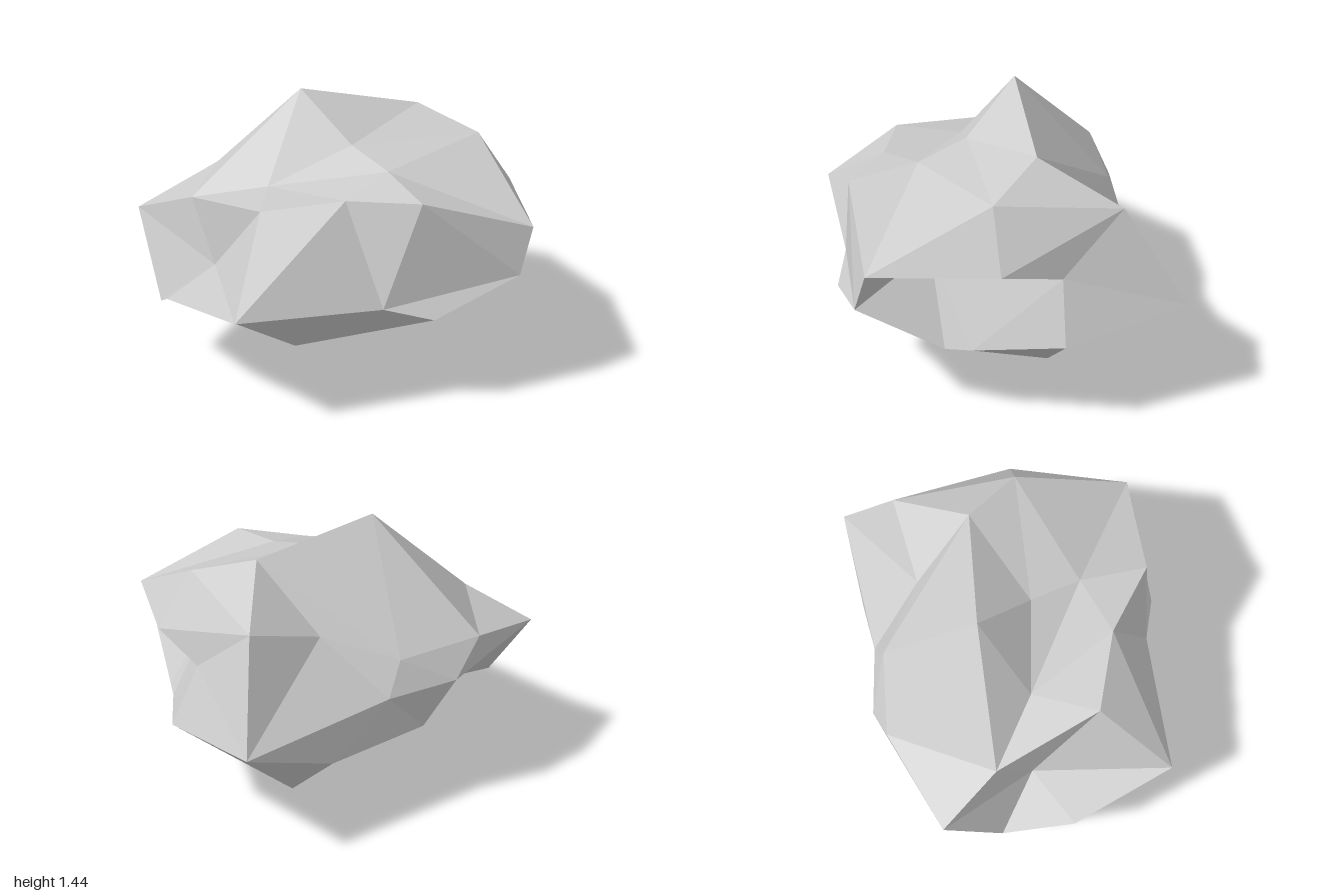
import * as THREE from 'three';

// The boulder is a distorted icosahedron, each face split in four.
// Five points per ring, counter-clockwise seen from above, starting front left.
const top = [0.115, 1.203, 0.14];
const topSpokes = [[-0.32, 1.01, 0.18], [0.27, 1.145, 0.38], [0.8, 1.2, 0], [0.51, 1.305, -0.21], [-0.125, 1.437, -0.105]];
const upper = [[-0.38, 1.02, 0.535], [0.39, 1.105, 0.72], [0.99, 0.92, -0.04], [0.26, 0.965, -0.465], [-0.56, 0.885, -0.535]];
const upperMids = [[0.035, 1.075, 0.57], [0.97, 0.91, 0.6], [0.655, 1.105, -0.63], [-0.11, 0.85, -0.61], [-0.71, 0.91, 0.04]];
// Waist points between the upper and lower rings: descending, then ascending
const waistDown = [[-0.53, 0.627, 0.95], [0.9, 0.68, 0.665], [0.855, 0.83, -0.335], [-0.03, 0.68, -0.68], [-1, 0.765, -0.205]];
const waistUp = [[0.2, 0.58, 0.78], [0.625, 0.85, 0.31], [0.762, 0.62, -0.955], [-0.4, 0.71, -0.64], [-0.605, 0.6, 0.22]];
const lower = [[-0.32, 0.62, 0.67], [0.9, 0.45, 0.235], [1, 0.53, -0.35], [-0.25, 0.44, -0.585], [-0.895, 0.34, 0.09]];
const lowerMids = [[0.45, 0.52, 0.8], [0.912, 0.45, 0.1], [0.3, 0.44, -0.803], [-0.49, 0.54, -0.3], [-0.853, 0.535, 0.465]];
const bottomSpokes = [[-0.2, 0.165, 0.34], [0.59, 0.37, 0.31], [0.37, 0, -0.29], [0, 0.37, -0.3], [-0.65, 0.415, 0.02]];
const bottom = [0, 0.11, -0.055];

export function createModel() {
  const positions = [];
  // One large face with its three edge points becomes four facets
  const addFace = (a, b, c, ab, bc, ca) => {
    for (const corner of [a, ab, ca, ab, b, bc, ca, bc, c, ab, bc, ca]) positions.push(...corner);
  };

  for (let i = 0; i < 5; i++) {
    const n = (i + 1) % 5;
    // Crown
    addFace(top, upper[i], upper[n], topSpokes[i], upperMids[i], topSpokes[n]);
    // Waist, alternating down and up
    addFace(upper[i], lower[i], upper[n], waistDown[i], waistUp[i], upperMids[i]);
    addFace(lower[i], lower[n], upper[n], lowerMids[i], waistDown[n], waistUp[i]);
    // Underside
    addFace(bottom, lower[n], lower[i], bottomSpokes[n], lowerMids[i], bottomSpokes[i]);
  }

  const geometry = new THREE.BufferGeometry();
  geometry.setAttribute('position', new THREE.Float32BufferAttribute(positions, 3));
  geometry.computeVertexNormals();

  const boulder = new THREE.Mesh(geometry, new THREE.MeshStandardMaterial({ color: 0xcccccc, flatShading: true }));
  boulder.name = 'boulder';
  const group = new THREE.Group();
  group.name = 'rock';
  group.add(boulder);
  return group;
}
